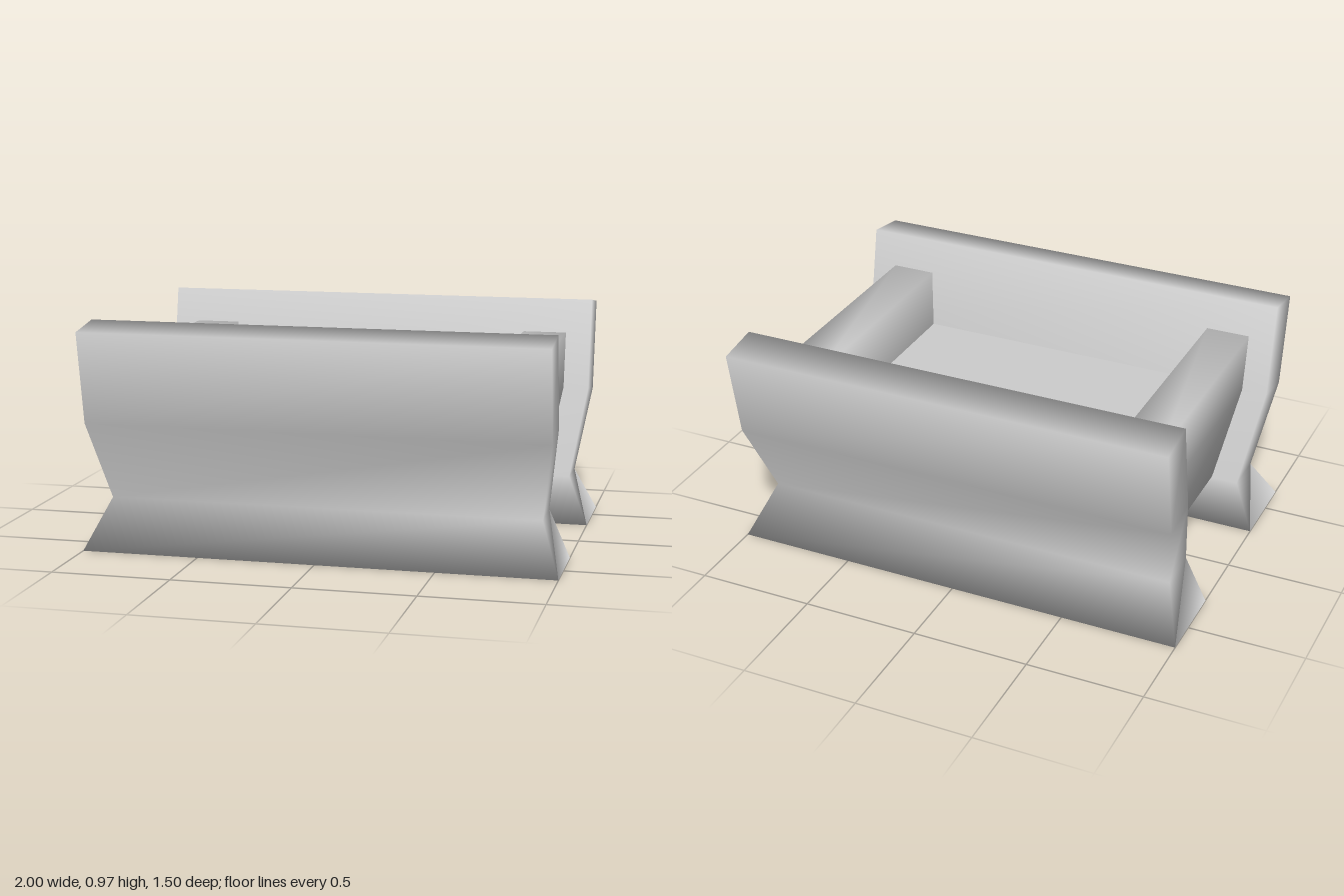
import * as THREE from 'three';

// Smooth solid from four-cornered rings, listed bottom to top,
// each ring counter-clockwise as seen from above
function loft(rings) {
  const index = [];
  for (let r = 0; r < rings.length - 1; r++) {
    for (let i = 0; i < 4; i++) {
      const a = r * 4 + i, b = r * 4 + (i + 1) % 4;
      index.push(a, b, b + 4, a, b + 4, a + 4);
    }
  }
  const t = (rings.length - 1) * 4;
  index.push(t, t + 1, t + 2, t, t + 2, t + 3); // top cap
  index.push(3, 2, 1, 3, 1, 0); // bottom cap
  const geo = new THREE.BufferGeometry();
  geo.setAttribute('position', new THREE.Float32BufferAttribute(rings.flat(2), 3));
  geo.setIndex(index);
  geo.computeVertexNormals();
  return geo;
}

export function createModel() {
  const group = new THREE.Group();
  const stone = new THREE.MeshStandardMaterial({ color: 0xcccccc });
  stone.name = 'light grey';

  const add = (name, geo, turn = 0) => {
    const mesh = new THREE.Mesh(geo, stone);
    mesh.name = name;
    mesh.rotation.y = turn;
    group.add(mesh);
  };

  // Long side panels with flared feet: half length, outer y/z, inner y/z
  const panel = loft([
    [1.0, 0, 0.65, 0, 0.29],
    [0.915, 0.205, 0.51, 0.21, 0.32],
    [0.97, 0.55, 0.675, 0.58, 0.49],
    [0.97, 0.94, 0.75, 0.968, 0.565],
  ].map(([x, yo, zo, yi, zi]) => [[x, yo, zo], [x, yi, zi], [-x, yi, zi], [-x, yo, zo]]));
  add('frontPanel', panel);
  add('backPanel', panel, Math.PI);

  // End boards between the panels: y, inner x, outer x, half width
  const board = loft([
    [0.215, 0.61, 0.80, 0.33],
    [0.58, 0.645, 0.86, 0.50],
    [0.82, 0.67, 0.86, 0.545],
  ].map(([y, xi, xo, z]) => [[xo, y, z], [xo, y, -z], [xi, y, -z], [xi, y, z]]));
  add('leftEndBoard', board);
  add('rightEndBoard', board, Math.PI);

  // Solid floor block, tapered to follow the sloping walls
  const floor = new THREE.BoxGeometry(2, 0.365, 2).translate(0, 0.4, 0);
  const p = floor.attributes.position;
  for (let i = 0; i < p.count; i++) {
    const up = p.getY(i) > 0.4;
    p.setX(i, p.getX(i) * (up ? 0.65 : 0.615));
    p.setZ(i, p.getZ(i) * (up ? 0.495 : 0.325));
  }
  floor.computeVertexNormals();
  add('floor', floor);

  return group;
}
